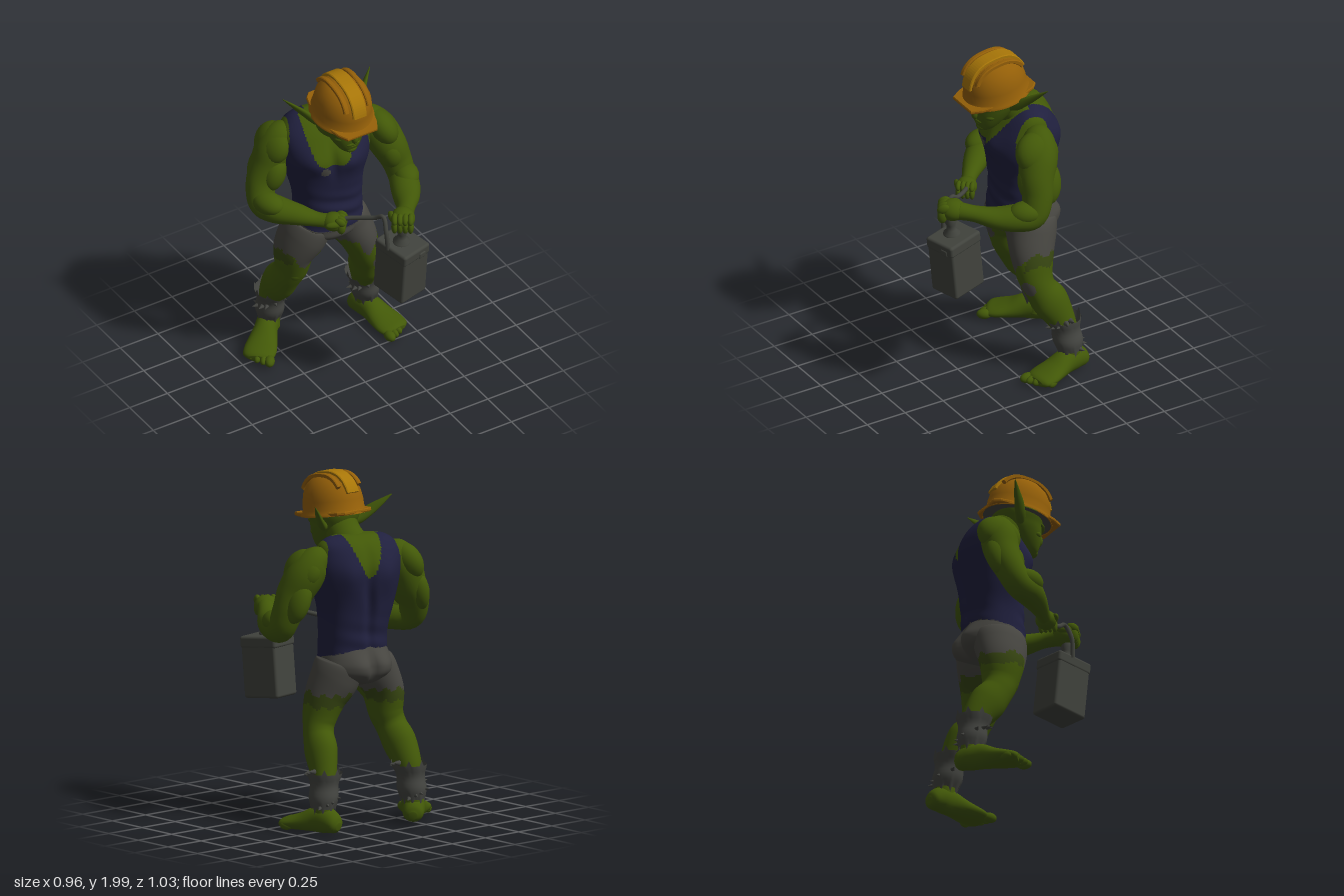
import * as THREE from 'three';
import { RoundedBoxGeometry } from 'three/addons/geometries/RoundedBoxGeometry.js';

const V = (x, y, z) => new THREE.Vector3(x, y, z);
const mat = (name, color, side = THREE.FrontSide) => Object.assign(new THREE.MeshStandardMaterial({ color, side }), { name });
function place(o, name, p = [0, 0, 0], r = [0, 0, 0], s = [1, 1, 1]) {
  o.name = name;
  o.position.set(...p); o.rotation.set(...r); o.scale.set(...s);
  return o;
}
const mesh = (name, g, m, p, r, s) => place(new THREE.Mesh(g, m), name, p, r, s);
const ball = (name, m, p, s, r) => mesh(name, new THREE.SphereGeometry(1, 24, 16), m, p, r, s);
const lathe = (pts, n) => new THREE.LatheGeometry(pts.map(p => new THREE.Vector2(...p)), n);
const ring = (n, f) => Array.from({ length: n }, (_, j) => f((j / n) * Math.PI * 2, j));
const bump = (x, y, a, b, w, h) => Math.exp(-(((x - a) / w) ** 2) - ((y - b) / h) ** 2);

// Smoothly resample rows of numbers
function resample(rows, n) {
  const last = rows.length - 1;
  return Array.from({ length: n + 1 }, (_, k) => {
    const t = (k / n) * last, i = Math.min(Math.floor(t), last - 1), f = t - i;
    const [p, q, r, s] = [i - 1, i, i + 1, i + 2].map(j => rows[Math.max(0, Math.min(last, j))]);
    return q.map((b, c) => b + 0.5 * f * (r[c] - p[c] + f * (2 * p[c] - 5 * b + 4 * r[c] - s[c] + f * (3 * (b - r[c]) + s[c] - p[c]))));
  });
}

// Skin over rings; paint(point) picks the material index
function skin(name, rings, mats, paint = () => 0, capped = true) {
  const n = rings[0].length, lists = mats.map(() => []);
  if (capped) {
    const [a, b] = [rings[0], rings[rings.length - 1]].map(r => r.reduce((c, p) => c.add(p), V(0, 0, 0)).divideScalar(n));
    rings = [rings[0].map(() => a), ...rings, rings[0].map(() => b)];
  }
  for (let i = 0; i < rings.length - 1; i++) for (let j = 0; j < n; j++) {
    const k = (j + 1) % n, a = i * n + j, b = i * n + k;
    lists[paint(rings[i][j].clone().lerp(rings[i + 1][k], 0.5))].push(a, b, a + n, b, b + n, a + n);
  }
  const g = new THREE.BufferGeometry().setFromPoints(rings.flat());
  g.setIndex(lists.flat());
  let start = 0;
  lists.forEach((l, i) => { g.addGroup(start, l.length, i); start += l.length; });
  g.computeVertexNormals();
  return mesh(name, g, mats.length > 1 ? mats : mats[0]);
}

// Limb rows: x, y, z, radius a, radius b (rings square to the path)
function limb(name, rows, mats, paint, n = 48, sides = 28) {
  const s = resample(rows.map(r => r.length < 5 ? [...r, r[3]] : r), n), X = V(1, 0, 0);
  const at = i => V(...s[Math.max(0, Math.min(n, i))].slice(0, 3));
  return skin(name, s.map((r, i) => {
    const T = at(i + 1).sub(at(i - 1)).normalize(), side = T.clone().cross(X).normalize(), other = side.clone().cross(T);
    return ring(sides, q => at(i).addScaledVector(other, Math.cos(q) * r[3]).addScaledVector(side, Math.sin(q) * r[4]));
  }), mats, paint);
}

// Stacked level rows: y, x, z, rx, rz, yaw; swell(x, y, z) adds depth
function stack(name, rows, mats, paint, swell = () => 0, n = 36, sides = 40) {
  const e = v => Math.sign(v) * Math.abs(v) ** 0.88;
  return skin(name, resample(rows, n).map(([y, cx, cz, rx, rz, yaw]) => ring(sides, q => {
    const x = e(Math.cos(q)) * rx, flat = -e(Math.sin(q)) * rz, z = flat - swell(x, y, flat) * Math.sin(q);
    return V(cx + x * Math.cos(yaw) + z * Math.sin(yaw), y, cz - x * Math.sin(yaw) + z * Math.cos(yaw));
  })), mats, paint);
}

export function createModel() {
  const green = mat('green skin', 0x425808), navy = mat('navy vest', 0x20203e), olive = mat('dark olive skin', 0x384712);
  const cloth = mat('grey shorts', 0x474641), leather = mat('ankle leather', 0x444541, THREE.DoubleSide);
  const metal = mat('canister grey', 0x41433d), dark = mat('dark eye', 0x1c2010);
  const amber = mat('helmet amber', 0x945f08, THREE.DoubleSide), gold = mat('helmet ridge gold', 0xa87608);
  const model = new THREE.Group(), add = (...m) => model.add(...m);
  const group = (...a) => { const g = place(new THREE.Group(), ...a); add(g); return g; };

  // Torso turned to its right; vest with scooped neck, armholes and a hem rising at the back
  const yaw = -0.28;
  const vestPaint = p => {
    if (p.y < 0.94 + 0.27 * Math.max(0, -0.02 - p.z) || p.distanceTo(V(-0.12, 1.37, 0.04)) < 0.038) return 2;
    const dx = p.x + 0.01, dz = p.z + 0.18;
    const x = Math.abs(dx * Math.cos(yaw) - dz * Math.sin(yaw)), z = dx * Math.sin(yaw) + dz * Math.cos(yaw);
    const neck = z > 0 ? 1.41 + (x / 0.15) ** 4 * 0.24 : 1.43 + (x / 0.1) ** 1.6 * 0.21;
    return p.y > neck || (p.y > 1.4 && x > 0.25 - (p.y - 1.4) * 0.18) ? 1 : 0;
  };
  add(stack('torso', [[0.935, 0, -0.155, 0.208, 0.172, 0], [1.0, 0, -0.155, 0.2, 0.168, -0.05], [1.12, 0, -0.16, 0.2, 0.168, -0.12],
    [1.25, -0.01, -0.165, 0.22, 0.182, -0.2], [1.38, -0.01, -0.165, 0.25, 0.2, yaw], [1.48, -0.01, -0.175, 0.258, 0.193, yaw],
    [1.56, -0.01, -0.185, 0.25, 0.158, yaw], [1.62, 0, -0.19, 0.22, 0.11, yaw], [1.655, 0, -0.185, 0.16, 0.06, yaw],
    [1.665, 0, -0.18, 0.06, 0.03, yaw]], [navy, green, cloth], vestPaint, (x, y, z) => z > 0
    ? 0.03 * bump(Math.abs(x), y, 0.11, 1.43, 0.08, 0.07) - 0.014 * bump(x, y, 0, 1.42, 0.025, 0.1) + 0.006 * Math.sin(y * 60 + x * 14) * bump(x, y, 0, 1.05, 0.3, 0.12)
    : 0.02 * bump(Math.abs(x), y, 0.12, 1.45, 0.07, 0.1) - 0.028 * bump(x, y, 0, 1.25, 0.03, 0.25) + 0.004 * Math.sin(y * 55 - x * 12) * bump(x, y, 0, 1.05, 0.3, 0.12), 130, 150));

  // Shorts with a creased seat
  add(stack('shorts', [[0.8, 0, -0.19, 0.02, 0.05, -0.08], [0.825, 0, -0.185, 0.09, 0.13, -0.08], [0.87, 0, -0.18, 0.19, 0.172, -0.08],
    [0.92, 0, -0.175, 0.212, 0.175, -0.08], [0.97, 0, -0.165, 0.205, 0.17, -0.08], [1.04, 0, -0.16, 0.18, 0.15, -0.08]], [cloth], undefined,
  (x, y, z) => z < 0 ? 0.035 * bump(Math.abs(x), y, 0.09, 0.93, 0.08, 0.07) - 0.03 * bump(x, y, 0, 0.9, 0.022, 0.09) : 0, 40, 72));

  // Neck and shoulder slopes
  add(limb('neck', [[0, 1.46, -0.21, 0.14], [0, 1.56, -0.16, 0.115], [0, 1.64, -0.09, 0.1], [0, 1.72, -0.03, 0.1]], [green]));
  for (const s of [-1, 1]) add(ball('neckMuscle', green, [s * 0.075, 1.6, -0.2 + s * 0.03], [0.09, 0.045, 0.065], [0, yaw, -s * 0.5]));

  // Head and face
  add(stack('head', [[1.537, 0, 0.075, 0.03, 0.025, 0], [1.56, 0, 0.062, 0.058, 0.055, 0], [1.6, 0, 0.045, 0.084, 0.084, 0],
    [1.65, 0, 0.022, 0.108, 0.112, 0], [1.7, 0, 0.005, 0.125, 0.128, 0], [1.78, 0, 0, 0.14, 0.14, 0], [1.88, 0, 0, 0.09, 0.1, 0]], [green]));
  add(ball('nose', green, [0, 1.648, 0.136], [0.02, 0.034, 0.022]), ball('upperLip', green, [0, 1.605, 0.118], [0.045, 0.014, 0.018]),
    ball('lowerLip', green, [0, 1.587, 0.111], [0.038, 0.012, 0.018]), ball('chin', green, [0, 1.558, 0.097], [0.037, 0.024, 0.025]));
  for (const s of [-1, 1]) {
    add(ball('brow', green, [s * 0.045, 1.698, 0.117], [0.05, 0.018, 0.028], [0, s * 0.35, s * 0.25]));
    add(ball('eye', dark, [s * 0.045, 1.673, 0.112], [0.02, 0.008, 0.012], [0, s * 0.4, s * 0.2]));
    add(ball('cheek', green, [s * 0.062, 1.645, 0.08], [0.04, 0.024, 0.032], [0, s * 0.6, 0]));
    add(limb('ear', [[s * 0.1, 1.695, -0.035, 0.025, 0.025], [s * 0.14, 1.712, -0.055, 0.024, 0.034], [s * 0.19, 1.757, -0.09, 0.017, 0.033],
      [s * 0.24, 1.802, -0.13, 0.01, 0.02], [s * 0.288, 1.845, -0.165, 0.002, 0.003]], [green], undefined, 24, 20));
  }

  // Hard hat, tipped forward, with a grey lining
  const hat = group('helmet', [0, 1.768, 0], [0.15, 0, 0]);
  const shell = [[1.1, -0.022], [1.09, -0.008], [1, 0.012], [0.985, 0.06], [0.93, 0.11], [0.8, 0.157], [0.6, 0.192], [0.35, 0.212], [0, 0.219]];
  hat.add(mesh('helmetShell', lathe(shell, 48), amber, [0, 0, 0], [0, 0, 0], [0.163, 1, 0.187]));
  hat.add(mesh('helmetLining', new THREE.CircleGeometry(1, 40), leather, [0, -0.023, 0], [Math.PI / 2, 0, 0], [0.172, 0.198, 1]));
  const slab = (s, depth) => new THREE.ExtrudeGeometry(s, { depth, bevelSize: 0.004, bevelThickness: 0.006, bevelSegments: 1 });
  for (const [name, turn, reach] of [['helmetVisor', 0, 0.222], ['helmetBackRim', Math.PI, 0.2]]) {
    const s = new THREE.Shape([[-0.16, 0.05], [-0.125, 0.17], [-0.095, reach], [0.095, reach], [0.125, 0.17], [0.16, 0.05], [0, 0.12]].map(p => new THREE.Vector2(...p)));
    hat.add(mesh(name, slab(s, 0.01), amber, [0, -0.004, 0], [Math.PI / 2, 0, turn]));
  }
  const ridge = (x, w, lift, from, to, m) => {
    const e = (v, r) => Math.sign(v) * Math.abs(v) ** 0.8 * r, steps = 32;
    const arc = d => Array.from({ length: steps + 1 }, (_, i) => from + (to - from) * i / steps)
      .map(q => new THREE.Vector2(e(Math.cos(q), 0.187 + d), e(Math.sin(q), 0.219 + d)));
    hat.add(mesh('helmetRidge', slab(new THREE.Shape([...arc(lift), ...arc(-0.02).reverse()]), w), m, [x + w / 2, 0, 0], [0, -Math.PI / 2, 0]));
  };
  ridge(0, 0.075, 0.005, 0.35, 2.75, gold);
  for (const s of [-1, 1]) ridge(s * 0.075, 0.018, -0.004, 0.6, 2.5, amber);

  // Arms with muscle masses
  add(limb('leftArm', [[0.19, 1.55, -0.16, 0.05], [0.245, 1.525, -0.13, 0.09], [0.3, 1.45, -0.1, 0.108], [0.345, 1.35, -0.06, 0.103], [0.385, 1.24, -0.04, 0.088],
    [0.4, 1.145, 0, 0.08], [0.365, 1.135, 0.09, 0.085, 0.078], [0.31, 1.14, 0.19, 0.074, 0.062], [0.245, 1.165, 0.29, 0.053, 0.046], [0.19, 1.178, 0.36, 0.052]], [green], undefined, 60));
  add(limb('rightArm', [[-0.19, 1.55, -0.23, 0.05], [-0.24, 1.525, -0.25, 0.09], [-0.285, 1.45, -0.265, 0.105], [-0.325, 1.35, -0.265, 0.1], [-0.38, 1.24, -0.25, 0.086],
    [-0.4, 1.145, -0.2, 0.08], [-0.36, 1.13, -0.12, 0.083, 0.078], [-0.28, 1.12, -0.03, 0.066, 0.06], [-0.2, 1.105, 0.05, 0.044, 0.042], [-0.14, 1.1, 0.1, 0.042]], [green], undefined, 60));
  for (const [s, z, dx] of [[1, -0.085, 0], [-1, -0.27, -0.015]]) {
    add(ball('deltoid', green, [s * (0.305 + dx), 1.475, z], [0.086, 0.125, 0.13], [0, 0, s * 0.45]));
    add(ball('biceps', green, [s * (0.34 + dx), 1.31, z + 0.065], [0.07, 0.11, 0.07], [0.1, 0, s * 0.3]));
    add(ball('triceps', green, [s * (0.372 + dx), 1.31, z - 0.03], [0.064, 0.13, 0.08], [-0.1, 0, s * 0.3]));
    add(ball('forearmMuscle', green, [s * 0.4, 1.175, z + 0.13], [0.072, 0.065, 0.1], [0, -s * 0.4, 0]));
  }

  // Fists
  for (const [name, p, turn, k] of [['leftFist', [0.165, 1.18, 0.385], -0.6, 1.25], ['rightFist', [-0.125, 1.1, 0.115], 0.85, 1.08]]) {
    const h = group(name, p, [0, turn, 0], [k, k, k]);
    h.add(ball('palm', green, [0, 0, 0], [0.055, 0.05, 0.062]), ball('thumb', green, [-0.045, 0.01, 0.01], [0.018, 0.02, 0.045], [0, 0.4, 0]));
    for (let x = -0.036; x < 0.04; x += 0.024) h.add(ball('knuckle', green, [x, 0.022, 0.04], [0.016, 0.022, 0.03], [0.5, 0, 0]),
      ball('finger', green, [x, -0.016, 0.045], [0.015, 0.034, 0.022]));
  }

  // Legs; the shorts end in a ragged hem above a dark olive band
  const legPaint = mid => p => {
    if (p.distanceTo(V(0.27, 0.57, -0.05)) < 0.045) return 1;
    const x = Math.abs(p.x), back = p.z < mid;
    const hem = (back ? 0.765 : Math.min(0.78, 0.65 + 1.5 * Math.abs(x - 0.19))) + 0.012 * Math.sin(p.x * 70 + p.z * 50);
    return p.y > hem ? 1 : p.y > hem - 0.07 && (back || x > 0.26) ? 2 : 0;
  };
  add(limb('leftLeg', [[0.1, 0.98, -0.17, 0.09], [0.105, 0.93, -0.165, 0.12, 0.15], [0.13, 0.85, -0.155, 0.128, 0.15], [0.18, 0.74, -0.13, 0.11, 0.13], [0.22, 0.62, -0.125, 0.09, 0.105],
    [0.245, 0.54, -0.145, 0.083, 0.092], [0.27, 0.45, -0.195, 0.085, 0.105], [0.3, 0.33, -0.25, 0.07, 0.08], [0.33, 0.2, -0.285, 0.056, 0.06], [0.335, 0.07, -0.29, 0.058, 0.065]],
  [green, cloth, olive], legPaint(-0.12), 110, 56));
  add(limb('rightLeg', [[-0.1, 0.98, -0.17, 0.09], [-0.105, 0.93, -0.175, 0.12, 0.15], [-0.14, 0.85, -0.18, 0.128, 0.155], [-0.19, 0.74, -0.2, 0.11, 0.135], [-0.2, 0.62, -0.215, 0.093, 0.108],
    [-0.215, 0.54, -0.245, 0.085, 0.094], [-0.22, 0.45, -0.31, 0.088, 0.105], [-0.22, 0.33, -0.385, 0.072, 0.08], [-0.22, 0.2, -0.415, 0.056, 0.06], [-0.22, 0.07, -0.415, 0.058, 0.065]],
  [green, cloth, olive], legPaint(-0.18), 110, 56));
  for (const [x, z] of [[0.225, -0.085], [-0.21, -0.165]]) add(ball('knee', green, [x, 0.61, z], [0.058, 0.065, 0.055]));

  // Spiked ankle guards with torn edges
  for (const [name, A, B] of [['leftAnkleGuard', V(0.3, 0.35, -0.26), V(0.335, 0.14, -0.285)], ['rightAnkleGuard', V(-0.22, 0.35, -0.39), V(-0.225, 0.14, -0.415)]]) {
    const g = group(name), at = t => A.clone().lerp(B, t);
    g.add(skin('ankleWrap', Array.from({ length: 11 }, (_, i) => {
      const t = i / 10, r = 0.092 - 0.024 * t + 0.006 * Math.cos(t * 9);
      return ring(40, (q, j) => at(t).add(V(Math.cos(q) * r, (j % 5 ? 0.3 : -1) * 0.025 * (2 * t - 1) ** 3, Math.sin(q) * r * 1.08)));
    }), [leather], undefined, false));
    for (let i = 0; i < 12; i++) {
      const t = 0.06 + 0.88 * ((i * 0.382) % 1), dir = V(Math.cos(i * 2.4), 0.25 - 0.5 * t, Math.sin(i * 2.4)).normalize();
      const spike = mesh('spike', new THREE.ConeGeometry(0.017, 0.045, 8), leather, at(t).addScaledVector(dir, 0.104 - 0.026 * t).toArray());
      spike.quaternion.setFromUnitVectors(V(0, 1, 0), dir);
      g.add(spike);
    }
  }

  // Bare feet
  for (const [name, p, turn, s] of [['leftFoot', [0.335, 0.003, -0.3], 0.2, 1], ['rightFoot', [-0.235, 0.012, -0.41], -0.76, -1]]) {
    const f = group(name, p, [0, turn, 0], [1.08, 1.08, 1.04]);
    f.add(limb('footBody', [[0, 0.045, -0.095, 0.02, 0.02], [0, 0.05, -0.075, 0.05, 0.045], [0, 0.07, -0.02, 0.06, 0.068], [0, 0.07, 0.05, 0.062, 0.068],
      [0, 0.052, 0.13, 0.077, 0.05], [0, 0.04, 0.2, 0.087, 0.038], [0, 0.033, 0.25, 0.078, 0.03], [0, 0.03, 0.27, 0.05, 0.02]], [green], undefined, 30));
    for (let i = 0; i < 5; i++) f.add(ball('toe', green, [-s * (0.064 - i * 0.033), 0.028, 0.272 - i * i * 0.004],
      [i ? 0.019 : 0.027, i ? 0.023 : 0.027, i ? 0.036 : 0.042], [0, s * (i - 1.5) * 0.1, 0]));
  }

  // Canister held by its neck
  const can = group('canister', [0.165, 0.85, 0.365], [0.1, 0.24, 0]);
  for (const [name, size, p] of [['canisterBody', [0.198, 0.345, 0.23], [0, -0.01, 0]], ['canisterLid', [0.204, 0.07, 0.24], [0, 0.135, 0]],
    ['canisterLatch', [0.05, 0.04, 0.02], [0.04, 0.12, 0.115]]]) can.add(mesh(name, new RoundedBoxGeometry(...size, 3, 0.016), metal, p));
  can.add(mesh('canisterNeck', lathe([[0.05, 0.16], [0.048, 0.18], [0.028, 0.2], [0.024, 0.23], [0.034, 0.25], [0.026, 0.28], [0.016, 0.36], [0, 0.362]], 24), metal, [-0.01, 0, 0]));

  // Hose from the right hand to the canister
  const path = new THREE.CatmullRomCurve3([V(-0.14, 1.1, 0.1), V(-0.05, 1.13, 0.17), V(0.04, 1.165, 0.28), V(0.066, 1.195, 0.335), V(0.06, 1.12, 0.375), V(0.066, 1, 0.385)]);
  add(mesh('hose', new THREE.TubeGeometry(path, 50, 0.013, 10), metal));
  return model;
}
